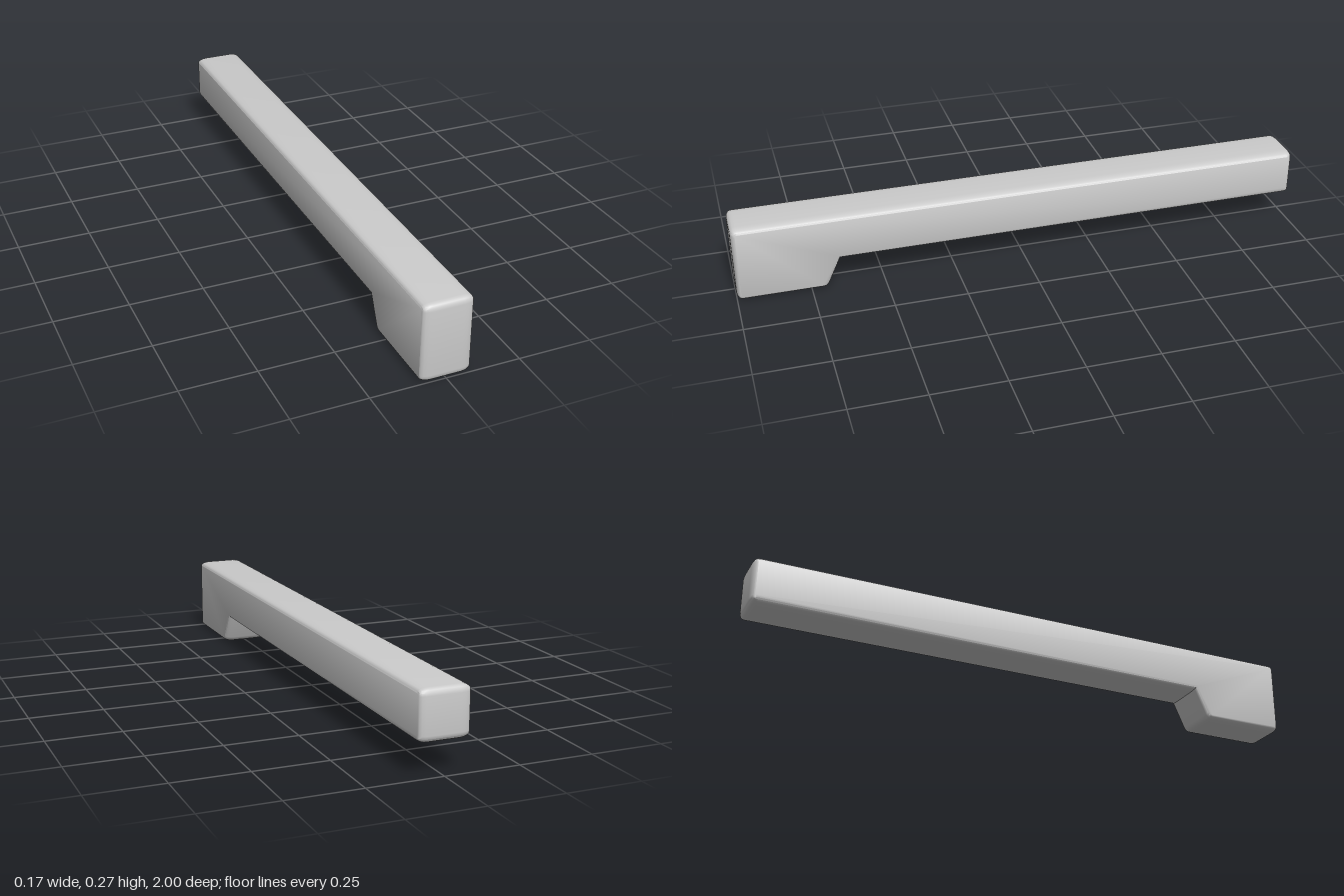
import * as THREE from 'three';
import { toCreasedNormals } from 'three/addons/utils/BufferGeometryUtils.js';

// Closed outline whose corners [x, y, radius] are softened
function roundedOutline(corners) {
  const shape = new THREE.Shape();
  const n = corners.length;
  const toward = (a, b, r) => {
    const p = new THREE.Vector2(a[0], a[1]);
    const d = new THREE.Vector2(b[0], b[1]).sub(p).normalize();
    return p.addScaledVector(d, r);
  };
  corners.forEach((c, i) => {
    const start = toward(c, corners[(i + n - 1) % n], c[2]);
    const end = toward(c, corners[(i + 1) % n], c[2]);
    if (i === 0) shape.moveTo(start.x, start.y);
    else shape.lineTo(start.x, start.y);
    if (c[2] > 0) shape.quadraticCurveTo(c[0], c[1], end.x, end.y);
  });
  shape.closePath();
  return shape;
}

export function createModel() {
  const group = new THREE.Group();
  group.name = 'barWithFoot';
  const material = new THREE.MeshStandardMaterial({ color: 0xcccccc });

  // Side profile as (z, y): long bar with a deeper block at the front
  const profile = roundedOutline([
    [1, 0, 0.022],
    [1, 0.268, 0.022],
    [-1, 0.268, 0.022],
    [-1, 0.105, 0.022],
    [0.645, 0.105, 0],
    [0.693, 0, 0.018],
  ].reverse());

  // Extrude across the width with wide, shallow rounded edges
  const width = 0.168, bevel = 0.034, inset = 0.014;
  const geometry = new THREE.ExtrudeGeometry(profile, {
    depth: width - 2 * bevel,
    curveSegments: 4,
    bevelEnabled: true,
    bevelThickness: bevel,
    bevelSize: inset,
    bevelOffset: -inset,
    bevelSegments: 4,
  });
  geometry.translate(0, 0, bevel - width / 2);
  geometry.rotateY(-Math.PI / 2);

  const bar = new THREE.Mesh(toCreasedNormals(geometry, 0.6), material);
  bar.name = 'bar';
  group.add(bar);
  return group;
}
